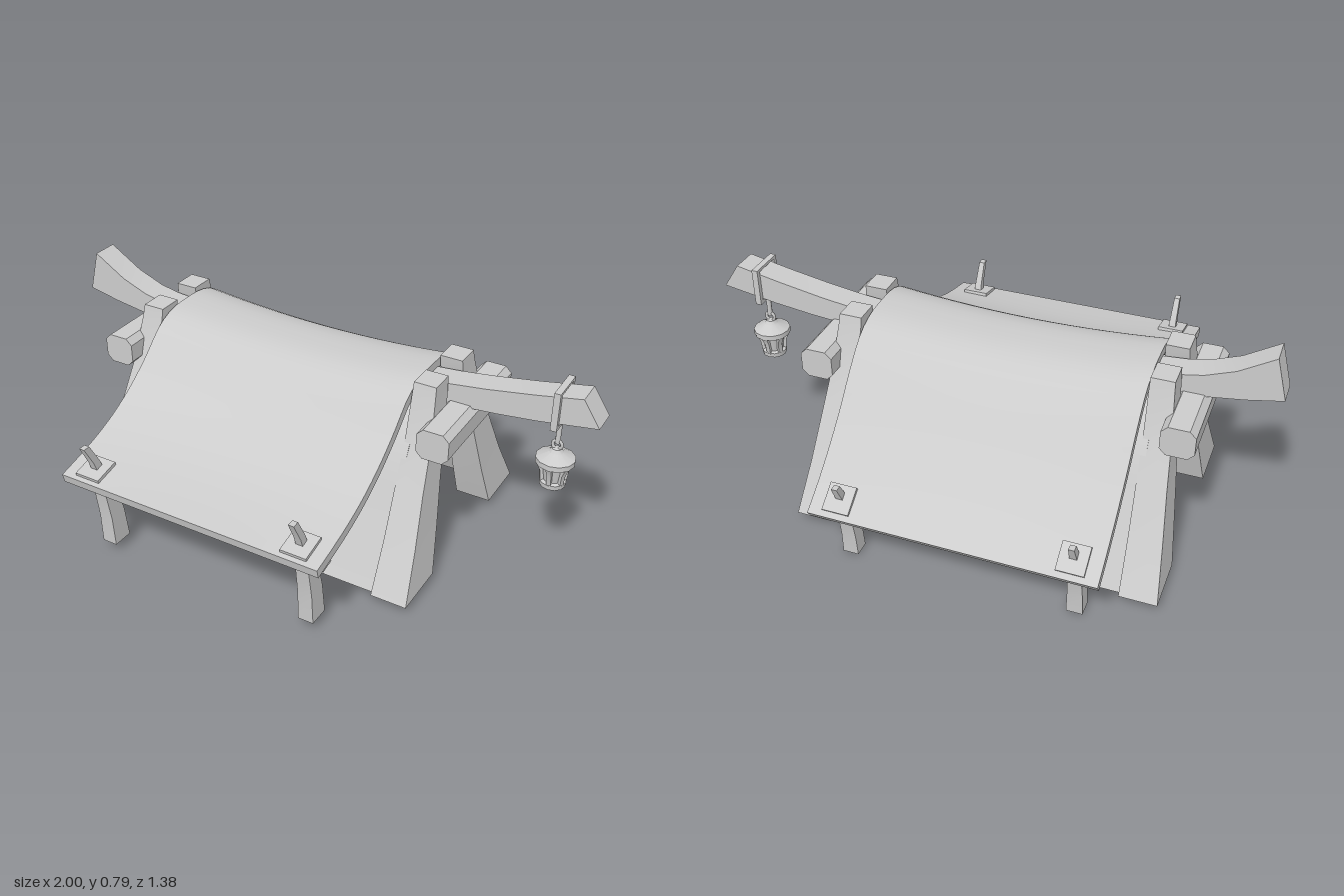
import * as THREE from 'three';
import { toCreasedNormals } from 'three/addons/utils/BufferGeometryUtils.js';

const MID_X = -0.09; // middle of the tent along the ridge
const MID_Z = -0.065; // ridge line
const material = new THREE.MeshStandardMaterial({ color: 0xcccccc });

function add(parent, name, geometry, x = 0, y = 0, z = 0) {
  const mesh = new THREE.Mesh(geometry, material);
  mesh.name = name;
  mesh.position.set(x, y, z);
  parent.add(mesh);
  return mesh;
}

// Box lofted upward through rectangles [y, x0, x1, z0, z1]
function loft(rows) {
  const n = rows.length - 1;
  const g = new THREE.BoxGeometry(1, 1, 1, 1, n, 1);
  const p = g.attributes.position;
  for (let i = 0; i < p.count; i++) {
    const [y, x0, x1, z0, z1] = rows[Math.round((p.getY(i) + 0.5) * n)];
    p.setXYZ(i, p.getX(i) < 0 ? x0 : x1, y, p.getZ(i) < 0 ? z0 : z1);
  }
  return toCreasedNormals(g, 0.5);
}

// Outline of [z, y] points extruded along x from x0 to x1
function extrudeX(points, x0, x1) {
  const shape = new THREE.Shape(points.map(([z, y]) => new THREE.Vector2(z, y)));
  const g = new THREE.ExtrudeGeometry(shape, { depth: x1 - x0, bevelEnabled: false });
  g.rotateY(-Math.PI / 2);
  g.translate(x1, 0, 0);
  return toCreasedNormals(g, 0.5);
}

// Sagging roof cloth swept over the ridge
function clothGeometry() {
  const curve = new THREE.CatmullRomCurve3([
    [-0.685, 0.215], [-0.6, 0.275], [-0.5, 0.358], [-0.4, 0.455], [-0.32, 0.545], [-0.225, 0.632],
    [-0.15, 0.661], [-0.06, 0.667], [0.03, 0.661], [0.1, 0.632], [0.2, 0.545], [0.3, 0.472],
    [0.4, 0.417], [0.5, 0.378], [0.6, 0.35], [0.685, 0.33],
  ].map(([z, y]) => new THREE.Vector3(0, y, z)));
  const g = new THREE.BoxGeometry(0.99, 0.034, 1, 14, 1, 40);
  const p = g.attributes.position;
  for (let i = 0; i < p.count; i++) {
    const v = THREE.MathUtils.clamp(p.getZ(i) + 0.5, 0, 1);
    const c = curve.getPointAt(v);
    const t = curve.getTangentAt(v);
    const across = 1 - (p.getX(i) / 0.495) ** 2;
    const sag = 0.028 * across * Math.min(1, 3 * Math.min(v, 1 - v));
    const h = p.getY(i);
    p.setXYZ(i, p.getX(i), c.y + t.z * h - sag, c.z - t.y * h);
  }
  g.computeVertexNormals();
  return g;
}

// Lantern with strap, hook, roof, ribs and base
function lantern() {
  const group = new THREE.Group();
  group.name = 'lantern';
  const lathe = (pts) => toCreasedNormals(
    new THREE.LatheGeometry(pts.map(([r, y]) => new THREE.Vector2(r, y)), 12), 0.6);
  const strap = new THREE.Shape();
  strap.moveTo(-0.066, 0.608).lineTo(0.066, 0.608).lineTo(0.066, 0.745).lineTo(-0.066, 0.745);
  strap.closePath();
  strap.holes.push(new THREE.Path([[-0.05, 0.62], [-0.05, 0.735], [0.05, 0.735], [0.05, 0.62]]
    .map(([z, y]) => new THREE.Vector2(z, y))));
  const strapGeo = new THREE.ExtrudeGeometry(strap, { depth: 0.022, bevelEnabled: false });
  strapGeo.rotateY(-Math.PI / 2);
  add(group, 'strap', strapGeo, 0.011);
  add(group, 'hangingRod', new THREE.CylinderGeometry(0.009, 0.009, 0.09, 8), 0, 0.572, 0);
  add(group, 'hookRing', new THREE.TorusGeometry(0.016, 0.006, 6, 12), 0, 0.521, 0);
  add(group, 'lanternRoof', lathe([[0, 0.512], [0.016, 0.508], [0.024, 0.496], [0.066, 0.474],
    [0.066, 0.455], [0.05, 0.448], [0, 0.448]].reverse()));
  add(group, 'lanternCore', new THREE.CylinderGeometry(0.044, 0.032, 0.07, 12), 0, 0.415, 0);
  add(group, 'lanternBase', lathe([[0, 0.368], [0.043, 0.368], [0.045, 0.385], [0.036, 0.39], [0, 0.39]]));
  for (let i = 0; i < 6; i++) {
    const pivot = new THREE.Group();
    pivot.name = 'lanternRib';
    pivot.rotation.y = (i * Math.PI) / 3;
    add(pivot, 'rib', loft([[0.38, -0.007, 0.007, 0.03, 0.043], [0.425, -0.008, 0.008, 0.037, 0.048],
      [0.455, -0.01, 0.01, 0.044, 0.062]]));
    group.add(pivot);
  }
  return group;
}

export function createModel() {
  const model = new THREE.Group();
  model.name = 'tent';

  add(model, 'roofCloth', clothGeometry(), MID_X);

  // Ridge beam, sagging in the middle with upswept ends
  const beam = new THREE.Shape([[-1, 0.64], [-0.88, 0.615], [-0.78, 0.6], [-0.67, 0.585], [-0.35, 0.56],
    [-0.09, 0.552], [0.2, 0.56], [0.49, 0.585], [0.66, 0.6], [0.8, 0.617], [1, 0.65], [0.94, 0.74],
    [0.78, 0.708], [0.62, 0.68], [0.49, 0.662], [0.2, 0.635], [-0.09, 0.625], [-0.35, 0.635],
    [-0.67, 0.662], [-0.74, 0.676], [-0.84, 0.715], [-0.96, 0.79]].map((p) => new THREE.Vector2(...p)));
  const beamGeo = new THREE.ExtrudeGeometry(beam, { depth: 0.096, bevelEnabled: false });
  add(model, 'ridgeBeam', toCreasedNormals(beamGeo, 0.3), 0, 0, MID_Z - 0.048);

  // Lower tent walls, front and back
  for (const s of [1, -1]) {
    const outer = [[0.42, 0.022], [0.335, 0.2], [0.27, 0.36], [0.21, 0.495], [0.1, 0.6], [0.03, 0.625]];
    const inner = outer.map(([z, y]) => [z - 0.035, y - 0.008]).reverse();
    const wall = [...outer, ...inner].map(([z, y]) => [MID_Z + s * z, y]);
    add(model, s > 0 ? 'frontWall' : 'backWall', extrudeX(wall, -0.615, 0.435));
  }

  // Closed left end
  add(model, 'endWall', extrudeX([[MID_Z + 0.4, 0.03], [MID_Z + 0.25, 0.36], [MID_Z + 0.05, 0.6],
    [MID_Z - 0.05, 0.6], [MID_Z - 0.25, 0.36], [MID_Z - 0.4, 0.03]], -0.615, -0.595));

  // Splayed legs and the crossbar at both ends: [y, inner x, outer x, inner z, outer z]
  const legRows = [[0.03, 0.52, 0.65, 0.24, 0.445], [0.2, 0.515, 0.63, 0.185, 0.35], [0.36, 0.51, 0.612, 0.14, 0.275],
    [0.5, 0.505, 0.598, 0.098, 0.205], [0.655, 0.5, 0.583, 0.06, 0.155], [0.695, 0.5, 0.58, 0.055, 0.145]];
  for (const sx of [1, -1]) {
    const side = sx > 0 ? 'left' : 'right';
    for (const sz of [1, -1]) {
      const rows = legRows.map(([y, a, b, c, d]) => {
        const xs = [MID_X + sx * a, MID_X + sx * b].sort((m, n) => m - n);
        const zs = [MID_Z + sz * c, MID_Z + sz * d].sort((m, n) => m - n);
        return [y, ...xs, ...zs];
      });
      add(model, side + (sz > 0 ? 'FrontLeg' : 'BackLeg'), loft(rows));
    }
    // Crossbar with bevelled long edges
    const cx = MID_X + sx * 0.625;
    const w = 0.057, h = 0.054, b = 0.022;
    const section = new THREE.Shape([[-w + b, -h], [w - b, -h], [w, -h + b], [w, h - b], [w - b, h], [-w + b, h],
      [-w, h - b], [-w, -h + b]].map((p) => new THREE.Vector2(...p)));
    const bar = new THREE.ExtrudeGeometry(section, { depth: 0.51, bevelEnabled: false });
    add(model, side + 'Crossbar', bar, cx, 0.547, MID_Z - 0.255);
  }

  // Curved awning posts with plates and pegs: [y, z centre, half depth, half width]
  const awnings = [
    { name: 'front', tilt: 0.22, plate: [0.362, 0.625], rail: [0.322, 0.62],
      post: [[0.035, 0.562, 0.038, 0.028], [0.15, 0.57, 0.034, 0.026], [0.25, 0.588, 0.03, 0.024], [0.345, 0.61, 0.027, 0.022]],
      peg: [[0.34, 0.61, 0.015, 0.014], [0.4, 0.63, 0.014, 0.012], [0.475, 0.668, 0.013, 0.01]] },
    { name: 'back', tilt: -0.63, plate: [0.268, -0.637], rail: [0.222, -0.635],
      post: [[0, -0.572, 0.028, 0.028], [0.08, -0.578, 0.027, 0.026], [0.16, -0.592, 0.026, 0.024], [0.25, -0.618, 0.024, 0.022]],
      peg: [[0.24, -0.615, 0.015, 0.014], [0.29, -0.638, 0.014, 0.012], [0.335, -0.66, 0.012, 0.01]] },
  ];
  for (const a of awnings) {
    for (const x of [MID_X - 0.4, MID_X + 0.4]) {
      const rows = (list) => list.map(([y, z, d, w]) => [y, x - w, x + w, z - d, z + d]);
      add(model, a.name + 'Post', loft(rows(a.post)));
      add(model, a.name + 'Peg', loft(rows(a.peg)));
      const plate = add(model, a.name + 'Plate', new THREE.BoxGeometry(0.094, 0.02, 0.096), x, ...a.plate);
      plate.rotation.x = a.tilt;
    }
    const rail = add(model, a.name + 'Rail', new THREE.BoxGeometry(0.98, 0.022, 0.05), MID_X, ...a.rail);
    rail.rotation.x = a.tilt;
  }

  const lamp = lantern();
  lamp.position.set(0.86, 0, MID_Z);
  model.add(lamp);
  return model;
}
